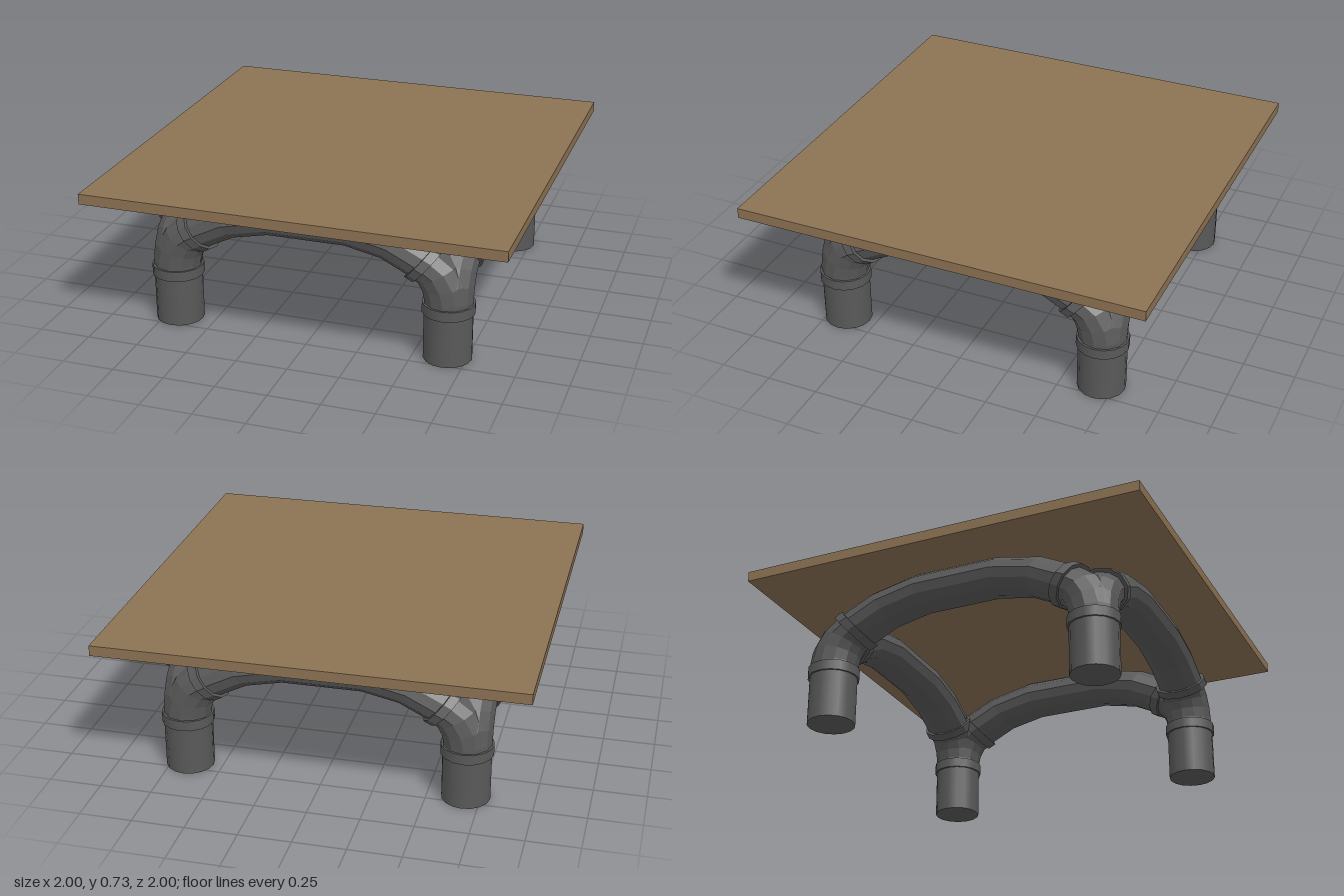
import * as THREE from 'three';

const SIDES = 12, PIPE_R = 0.115, COLLAR_R = 0.132, FLATTEN = 0.78;
const HALF = 0.67, OFF_X = -0.01, OFF_Z = -0.018;

// Capped tube along a path in the xy plane, with mitred rings.
function sweep(path, radius) {
  const pos = [], idx = [], n = path.length;
  path.forEach(([x, y], i) => {
    const unit = (a, b) => new THREE.Vector2(b[0] - a[0], b[1] - a[1]).normalize();
    const d = new THREE.Vector2();
    if (i > 0) d.add(unit(path[i - 1], path[i]));
    if (i < n - 1) d.add(unit(path[i], path[i + 1]));
    d.normalize();
    for (let j = 0; j < SIDES; j++) {
      const a = (j / SIDES) * Math.PI * 2, c = Math.sin(a) * radius;
      pos.push(x - d.y * c, y + d.x * c, Math.cos(a) * radius);
    }
  });
  for (let i = 0; i < n - 1; i++) {
    for (let j = 0; j < SIDES; j++) {
      const k = (j + 1) % SIDES, a = i * SIDES + j, b = i * SIDES + k;
      idx.push(a, a + SIDES, b, b, a + SIDES, b + SIDES);
    }
  }
  const last = (n - 1) * SIDES;
  for (let j = 1; j < SIDES - 1; j++) {
    idx.push(0, j, j + 1, last, last + j + 1, last + j);
  }
  const g = new THREE.BufferGeometry();
  g.setAttribute('position', new THREE.Float32BufferAttribute(pos, 3));
  g.setIndex(idx);
  // Make sure the faces point outwards
  const p = g.attributes.position, v = [0, 1, 2].map((k) => new THREE.Vector3().fromBufferAttribute(p, idx[k]));
  const normal = v[1].clone().sub(v[0]).cross(v[2].clone().sub(v[0]));
  const out = v[0].clone().sub(new THREE.Vector3(path[0][0], path[0][1], 0));
  if (normal.dot(out) < 0) {
    for (let k = 0; k < idx.length; k += 3) [idx[k], idx[k + 1]] = [idx[k + 1], idx[k]];
    g.setIndex(idx);
  }
  const flat = g.toNonIndexed();
  flat.computeVertexNormals();
  return flat;
}

export function createModel() {
  const model = new THREE.Group();
  model.name = 'pipeTable';
  const wood = new THREE.MeshStandardMaterial({ color: 0x8c7253 });
  wood.name = 'wood';
  const iron = new THREE.MeshStandardMaterial({ color: 0x595959 });
  iron.name = 'iron';

  const add = (parent, geometry, material, name, x = 0, y = 0, z = 0) => {
    const mesh = new THREE.Mesh(geometry, material);
    mesh.name = name;
    mesh.position.set(x, y, z);
    parent.add(mesh);
    return mesh;
  };

  // Square top
  add(model, new THREE.BoxGeometry(2, 0.05, 2), wood, 'tableTop', 0, 0.705, 0);

  const frame = new THREE.Group();
  frame.name = 'pipeFrame';
  frame.position.set(OFF_X, 0, OFF_Z);
  model.add(frame);

  // Legs with a collar under each elbow
  const legGeo = new THREE.CylinderGeometry(PIPE_R, PIPE_R, 0.26, 16);
  const collarGeo = new THREE.CylinderGeometry(0.124, 0.124, 0.05, 16);
  for (const x of [-HALF, HALF]) {
    for (const z of [-HALF, HALF]) {
      add(frame, legGeo, iron, 'leg', x, 0.13, z);
      add(frame, collarGeo, iron, 'legCollar', x, 0.26, z);
    }
  }

  // Arched pipes between neighbouring legs: elbow, collar, then a shallow arch
  const half = [
    [-HALF, 0.25], [-HALF, 0.3], [-0.655, 0.365], [-0.62, 0.425],
    [-0.55, 0.475], [-0.4, 0.55], [-0.2, 0.593],
  ].map(([x, y]) => [x, y / FLATTEN]);
  const mirror = half.map(([x, y]) => [-x, y]).reverse();
  const archGeo = sweep([...half, ...mirror], PIPE_R);
  const ringGeos = [1, -1].map((s) => sweep(
    [[-0.577 * s, 0.461 / FLATTEN], [-0.538 * s, 0.481 / FLATTEN]], COLLAR_R));

  for (let i = 0; i < 4; i++) {
    const side = new THREE.Group();
    side.name = 'archSide';
    const a = (i * Math.PI) / 2;
    side.rotation.y = a;
    side.position.set(Math.sin(a) * HALF, 0, Math.cos(a) * HALF);
    side.scale.y = FLATTEN;
    add(side, archGeo, iron, 'archPipe');
    ringGeos.forEach((g) => add(side, g, iron, 'elbowCollar'));
    frame.add(side);
  }
  return model;
}
